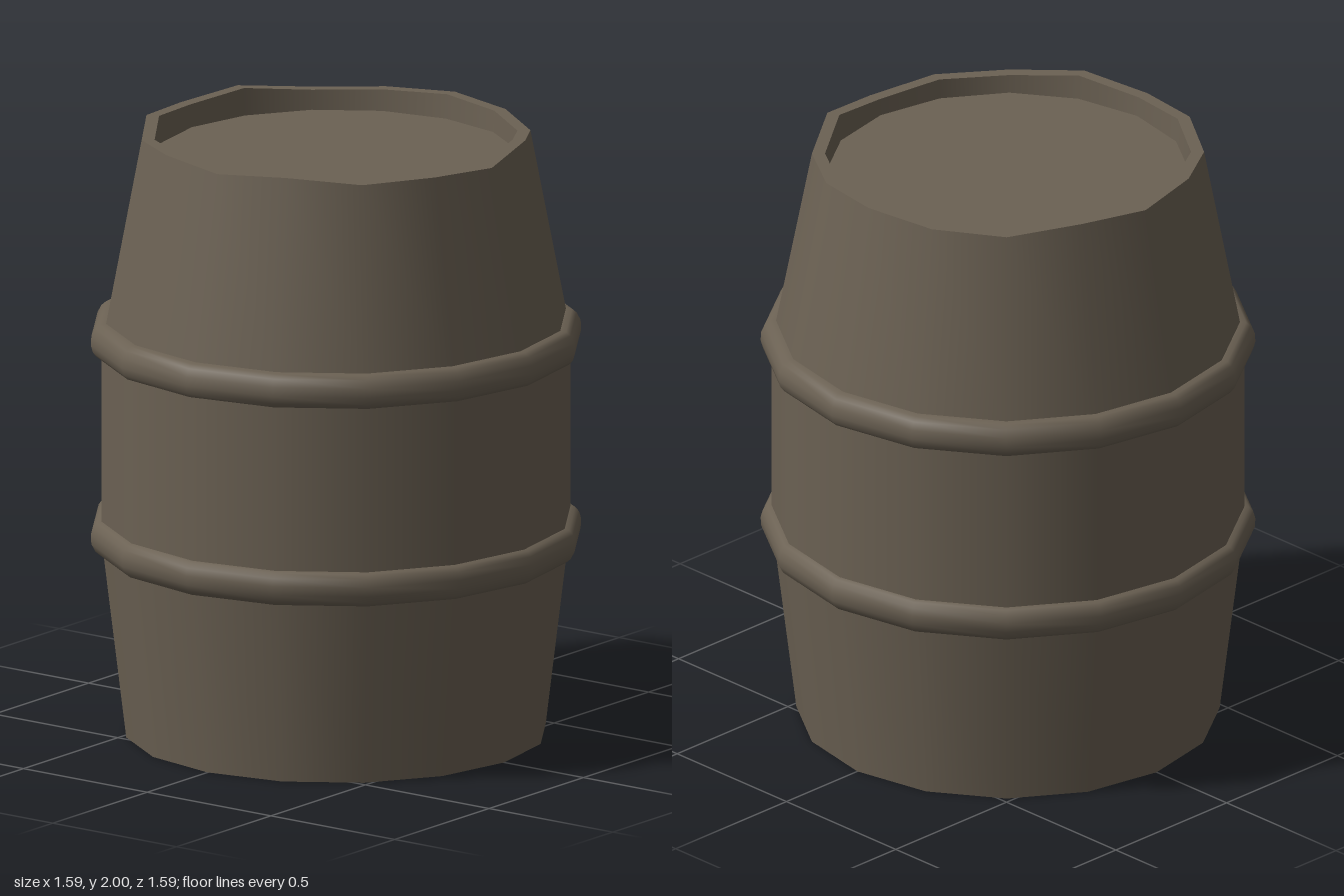
import * as THREE from 'three';

const SIDES = 16;
// Heights of the worn, uneven rim, one per stave, starting at the front
const RIM = [1.975, 1.99, 1.97, 1.975, 1.965, 2.0, 1.97, 1.98, 1.99,
  1.98, 1.975, 2.0, 1.985, 2.0, 1.98, 1.99];

export function createModel() {
  const group = new THREE.Group();
  const wood = new THREE.MeshStandardMaterial({ color: 0x6b6153 });
  wood.name = 'weathered brown';

  // One turned section; points at the very top follow the uneven rim
  function section(name, profile) {
    const geo = new THREE.LatheGeometry(profile.map(([r, y]) => new THREE.Vector2(r, y)), SIDES);
    const pos = geo.attributes.position;
    for (let i = 0; i < pos.count; i++) {
      if (pos.getY(i) < 1.99) continue;
      const turn = Math.atan2(pos.getX(i), pos.getZ(i)) / (Math.PI * 2);
      pos.setY(i, RIM[(Math.round(turn * SIDES) + SIDES) % SIDES]);
    }
    const mesh = new THREE.Mesh(geo, wood);
    mesh.name = name;
    group.add(mesh);
  }

  // Barrel body, split where the edges are sharp
  section('base', [[0, 0], [0.68, 0]]);
  section('lowerBody', [[0.68, 0], [0.755, 0.62]]);
  section('middleBody', [[0.76, 0.62], [0.76, 1.36]]);
  section('upperBody', [[0.75, 1.35], [0.63, 2]]);
  section('rim', [[0.63, 2], [0.588, 2]]);
  section('innerWall', [[0.588, 2], [0.583, 1.91]]);
  section('lid', [[0.583, 1.91], [0, 1.91]]);

  // Rounded hoops, the lower one mirrored
  const hoop = [[0.755, 0], [0.775, 0.005], [0.788, 0.02], [0.795, 0.045],
    [0.793, 0.075], [0.78, 0.1], [0.765, 0.113], [0.74, 0.115]];
  section('upperHoop', hoop.map(([r, y]) => [r, 1.26 + y]));
  section('lowerHoop', hoop.map(([r, y]) => [r, 0.72 - y]).reverse());

  return group;
}
